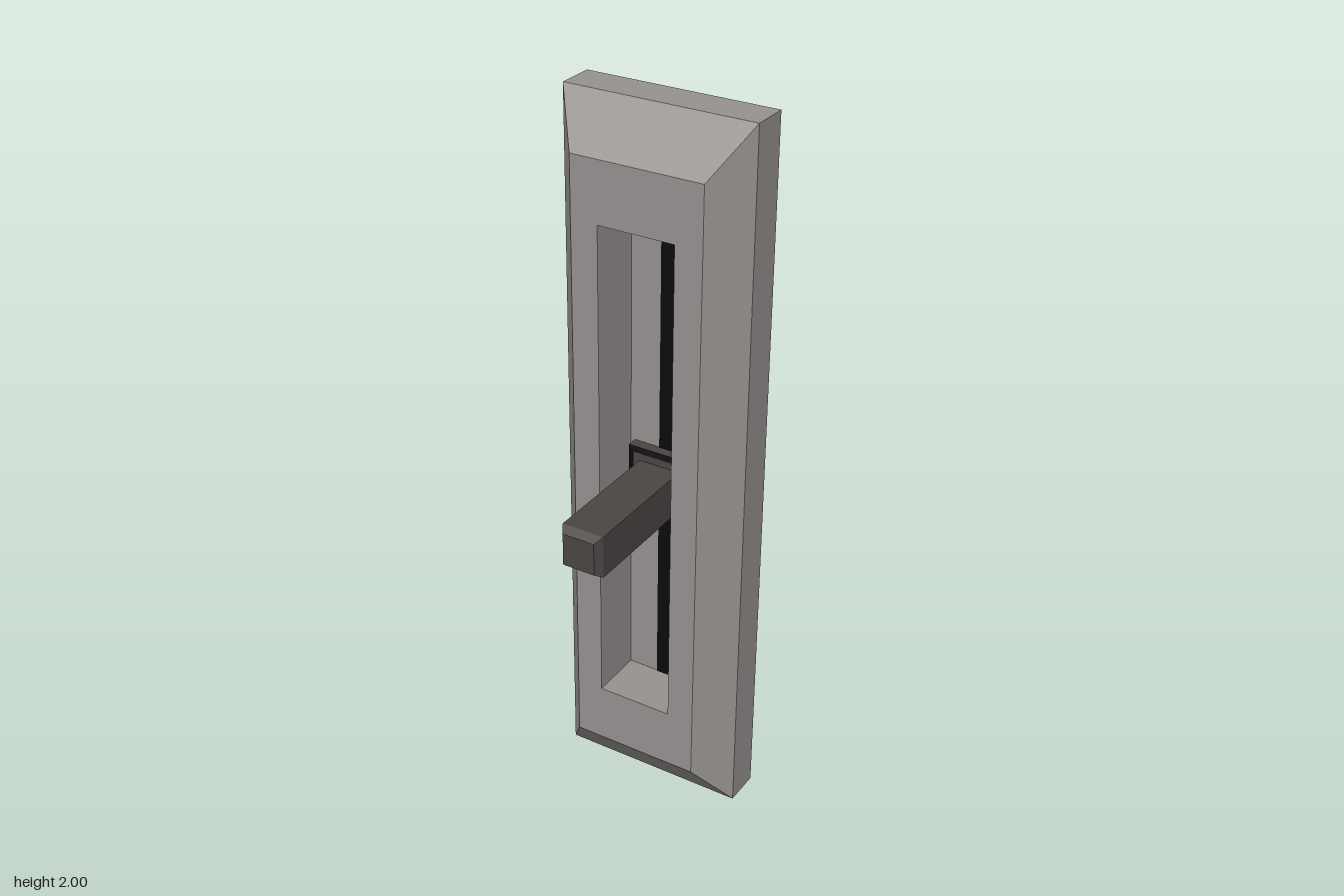
import * as THREE from 'three';

const paint = (name, color, side = THREE.FrontSide) => {
  const m = new THREE.MeshStandardMaterial({ color, side });
  m.name = name;
  return m;
};

// Joins rectangular rings [halfWidth, bottom, top, z] with flat faces; cap closes the last ring.
function loft(name, rings, material, cap = false) {
  const corners = rings.map(([w, b, t, z]) => [[-w, b, z], [w, b, z], [w, t, z], [-w, t, z]]);
  const pos = [];
  const quad = (a, b, c, d) => pos.push(...a, ...b, ...c, ...a, ...c, ...d);
  for (let i = 0; i + 1 < corners.length; i++) {
    for (let k = 0; k < 4; k++) {
      const n = (k + 1) % 4;
      quad(corners[i][k], corners[i][n], corners[i + 1][n], corners[i + 1][k]);
    }
  }
  if (cap) quad(...corners[corners.length - 1]);
  const geo = new THREE.BufferGeometry();
  geo.setAttribute('position', new THREE.Float32BufferAttribute(pos, 3));
  geo.computeVertexNormals();
  const mesh = new THREE.Mesh(geo, material);
  mesh.name = name;
  return mesh;
}

function box(name, w, h, d, x, y, z, material) {
  const mesh = new THREE.Mesh(new THREE.BoxGeometry(w, h, d), material);
  mesh.position.set(x, y, z);
  mesh.name = name;
  return mesh;
}

export function createModel() {
  const plate = paint('plateGrey', 0x969290, THREE.DoubleSide);
  const lever = paint('leverBrown', 0x4b4644);
  const black = paint('slotBlack', 0x0b0b0c);
  const group = new THREE.Group();
  group.name = 'sliderSwitch';

  const floorZ = -0.185;
  const midY = 0.943;

  // Hollow bevelled cover, folding inward at the opening to form the recess walls
  group.add(loft('coverPlate', [
    [0.267, 0, 2, -0.235],
    [0.267, 0, 2, -0.13],
    [0.185, 0.133, 1.87, -0.03],
    [0.108, 0.305, 1.703, -0.03],
    [0.108, 0.305, 1.703, floorZ],
  ], plate));

  // Recess floor with a small flange behind the walls
  group.add(box('recessFloor', 0.246, 1.44, 0.004, 0, 1.004, floorZ - 0.002, plate));

  // Black guide slot, showing on both faces of the floor
  group.add(box('guideSlot', 0.04, 1.398, 0.008, 0, 1.004, floorZ - 0.002, black));

  // Thin dark outlines on the back of the floor
  const outline = (name, hw, y0, y1) => {
    const t = 0.008, z = floorZ - 0.004, h = y1 - y0, y = (y0 + y1) / 2;
    for (const s of [-1, 1]) {
      group.add(box(name, t, h, 0.002, s * (hw - t / 2), y, z, black));
      group.add(box(name, 2 * hw, t, 0.002, 0, y + s * (h - t) / 2, z, black));
    }
  };
  outline('floorSeam', 0.108, 0.305, 1.703);
  outline('sliderSeam', 0.096, midY - 0.097, midY + 0.097);

  // Sliding base with a dark rim
  const base = (w, z) => [w, midY - w, midY + w, z];
  group.add(loft('sliderBase', [base(0.096, floorZ), base(0.096, floorZ + 0.03)], lever));
  group.add(loft('sliderRim', [base(0.096, floorZ + 0.03), base(0.08, floorZ + 0.034)], black));
  group.add(loft('sliderTop', [base(0.08, floorZ + 0.034), base(0.079, floorZ + 0.034)], lever, true));

  // Square lever with a chamfered tip
  group.add(loft('lever', [
    base(0.06, floorZ + 0.03),
    base(0.06, 0.213),
    base(0.046, 0.235),
  ], lever, true));

  return group;
}
